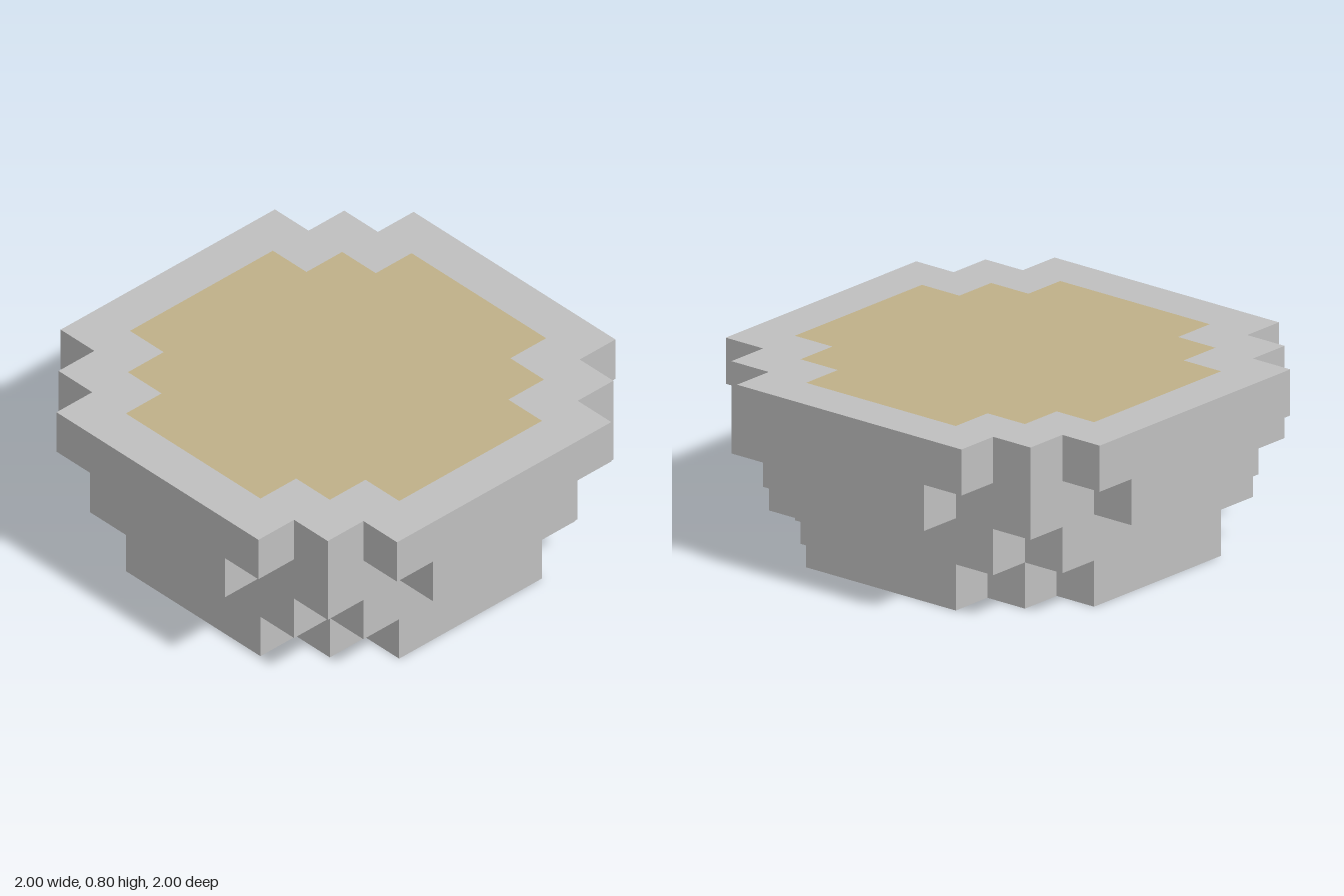
import * as THREE from 'three';

const STEP = 0.2;

// Stepped round outline. Each [x, z] is an outer corner of the +x +z quarter,
// ordered from the x side to the z side; the other quarters are mirrored.
function outline(corners) {
  const quarter = [];
  corners.forEach(([x, z], i) => {
    if (i > 0) quarter.push([x, corners[i - 1][1]]);
    quarter.push([x, z]);
  });
  const back = [...quarter].reverse();
  return [
    ...quarter,
    ...back.map(([x, z]) => [-x, z]),
    ...quarter.map(([x, z]) => [-x, -z]),
    ...back.map(([x, z]) => [x, -z]),
  ].map(([x, z]) => new THREE.Vector2(x, z));
}

// One flat layer, extruded upward from its base height
function layer(name, corners, base, material, hole) {
  const shape = new THREE.Shape(outline(corners));
  if (hole) shape.holes.push(new THREE.Path(outline(hole)));
  const geometry = new THREE.ExtrudeGeometry(shape, { depth: STEP, bevelEnabled: false });
  geometry.rotateX(-Math.PI / 2).translate(0, base, 0);
  const mesh = new THREE.Mesh(geometry, material);
  mesh.name = name;
  return mesh;
}

export function createModel() {
  const stone = new THREE.MeshStandardMaterial({ color: 0xbfbfbf });
  stone.name = 'grey stone';
  const sand = new THREE.MeshStandardMaterial({ color: 0xbfb088 });
  sand.name = 'tan filling';

  const small = [[0.8, 0.4], [0.6, 0.6], [0.4, 0.8]];
  const group = new THREE.Group();
  group.name = 'steppedBowl';
  group.add(
    // Bowl body, from the ground up
    layer('base', small, 0, stone),
    layer('lowerBody', [[0.8, 0.6], [0.6, 0.8]], STEP, stone),
    layer('upperBody', [[1, 0.4], [0.8, 0.8], [0.4, 1]], 2 * STEP, stone),
    // Rim ring with the filling level with its top
    layer('rim', [[1, 0.6], [0.8, 0.8], [0.6, 1]], 3 * STEP, stone, small),
    layer('filling', small, 3 * STEP, sand),
  );
  return group;
}
